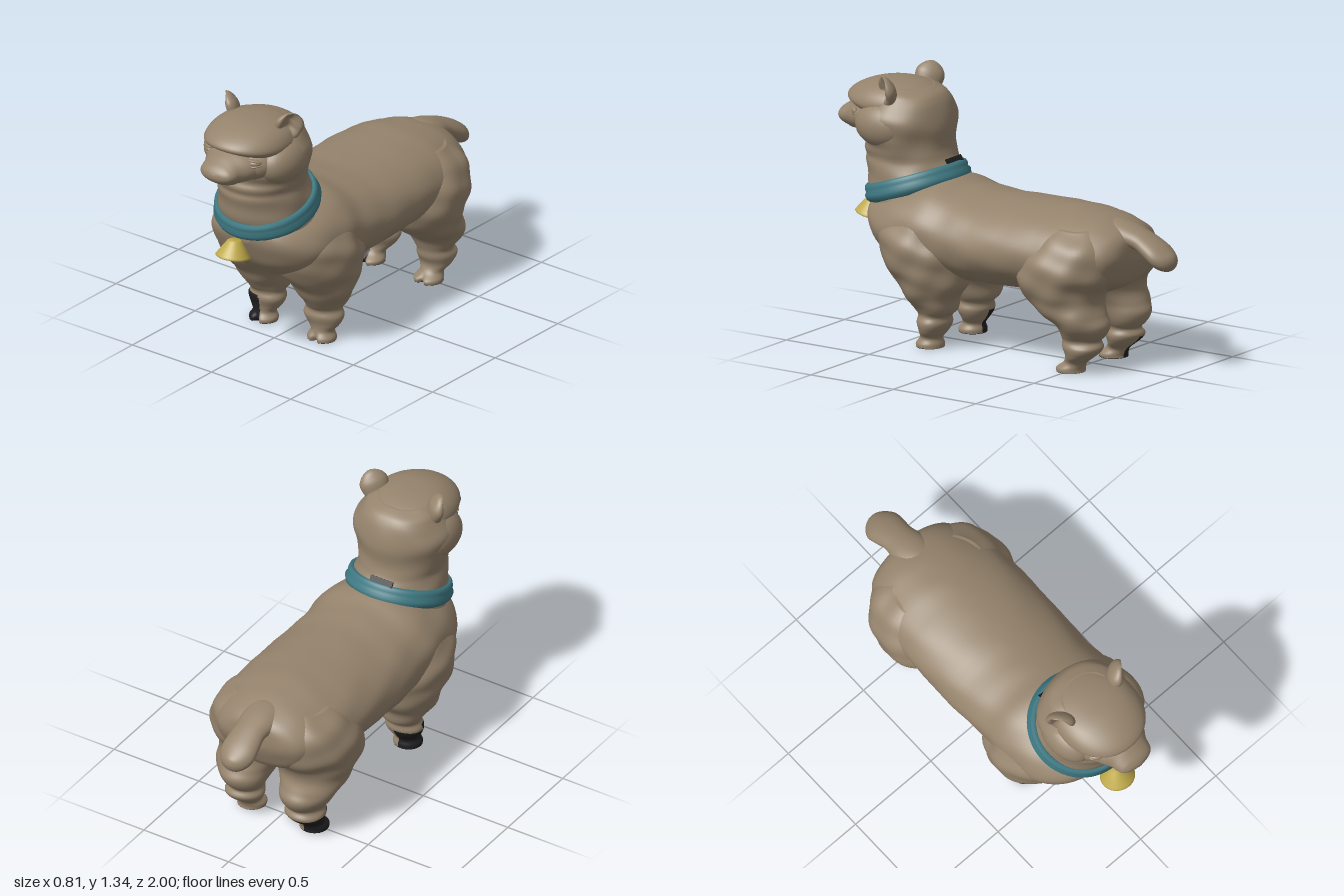
import * as THREE from 'three';

const wool = new THREE.MeshStandardMaterial({ color: 0x95836c });
wool.name = 'wool';
const dark = new THREE.MeshStandardMaterial({ color: 0x1f1f21 });
dark.name = 'dark hoof';
const teal = new THREE.MeshStandardMaterial({ color: 0x3f7a84 });
teal.name = 'teal collar';
const brass = new THREE.MeshStandardMaterial({ color: 0xbfaa4b, side: THREE.DoubleSide });
brass.name = 'yellow bell';

const cubic = (a, b, c, d, t) =>
  b + 0.5 * t * (c - a + t * (2 * a - 5 * b + 4 * c - d + t * (3 * (b - c) + d - a)));

// Smooth loft through rows [t, aLow, aHigh, bLow, bHigh], t ascending.
// axis 'y': t = y, a = z, b = x.   axis 'z': t = z, a = x, b = y.
function loft(axis, rows, { power = 2, lumps = 0, rule = null, seg = 48, steps = 5 } = {}) {
  const rings = [];
  for (let i = 0; i < rows.length - 1; i++) {
    const at = k => rows[Math.min(rows.length - 1, Math.max(0, k))];
    for (let s = 0; s < steps; s++) {
      rings.push(rows[i].map((v, c) => cubic(at(i - 1)[c], v, at(i + 1)[c], at(i + 2)[c], s / steps)));
    }
  }
  rings.push(rows[rows.length - 1]);
  // close both ends with a ring shrunk to its middle
  const close = r => [r[0], (r[1] + r[2]) / 2, (r[1] + r[2]) / 2, (r[3] + r[4]) / 2, (r[3] + r[4]) / 2];
  rings.unshift(close(rings[0]));
  rings.push(close(rings[rings.length - 1]));

  const bend = v => Math.sign(v) * Math.abs(v) ** (2 / power);
  const pos = [], index = [];
  rings.forEach(([t, a0, a1, b0, b1], i) => {
    for (let j = 0; j < seg; j++) {
      const th = (j / seg) * Math.PI * 2;
      const a = (a0 + a1) / 2 + bend(Math.cos(th)) * (a1 - a0) / 2;
      const b = (b0 + b1) / 2 + bend(Math.sin(th)) * (b1 - b0) / 2;
      const p = axis === 'y' ? new THREE.Vector3(b, t, a) : new THREE.Vector3(a, b, t);
      if (rule) rule(p);
      pos.push(p.x, p.y, p.z);
      if (i < rings.length - 1) {
        const k = i * seg + j, n = i * seg + (j + 1) % seg;
        index.push(k, n, k + seg, n, n + seg, k + seg);
      }
    }
  });
  const g = new THREE.BufferGeometry();
  g.setAttribute('position', new THREE.Float32BufferAttribute(pos, 3));
  g.setIndex(index);
  g.computeVertexNormals();
  if (lumps) {
    // soft fleece lumps, the same on both sides
    const P = g.attributes.position, N = g.attributes.normal;
    for (let i = 0; i < P.count; i++) {
      const x = Math.abs(P.getX(i)), y = P.getY(i), z = P.getZ(i);
      const d = lumps * Math.sin(34 * y + 9 * z + 5 * x) * Math.sin(23 * z - 13 * y + 8 * x)
        * THREE.MathUtils.smoothstep(y, 0.05, 0.15);
      P.setXYZ(i, P.getX(i) + N.getX(i) * d, y + N.getY(i) * d, z + N.getZ(i) * d);
    }
    g.computeVertexNormals();
  }
  return g;
}

// Split the quads of a loft into wool (0) and dark (1) groups by their centre.
function paint(g, isDark) {
  const P = g.attributes.position, sets = [[], []];
  for (let i = 0; i < g.index.count; i += 6) {
    const quad = [0, 1, 2, 3, 4, 5].map(k => g.index.getX(i + k));
    const mid = f => quad.reduce((sum, v) => sum + P[f](v), 0) / 6;
    sets[isDark(mid('getX'), mid('getY'), mid('getZ')) ? 1 : 0].push(...quad);
  }
  g.setIndex([...sets[0], ...sets[1]]);
  g.addGroup(0, sets[0].length, 0);
  g.addGroup(sets[0].length, sets[1].length, 1);
  return g;
}

export function createModel() {
  const model = new THREE.Group();
  const add = (name, geometry, material = wool) => {
    const m = new THREE.Mesh(geometry, material);
    m.name = name;
    model.add(m);
    return m;
  };
  const ball = (name, x, y, z, rx, ry, rz) => {
    const m = add(name, new THREE.SphereGeometry(1, 32, 20));
    m.position.set(x, y, z);
    m.scale.set(rx, ry, rz);
    return m;
  };
  const alongZ = rows => rows.map(([z, lo, hi, w]) => [z, -w, w, lo, hi]);
  const alongY = rows => rows.map(([y, lo, hi, w]) => [y, lo, hi, -w, w]);

  // Body: z, bottom, top, half width
  add('body', loft('z', alongZ([
    [-0.776, 0.57, 0.66, 0.07], [-0.757, 0.5, 0.705, 0.18], [-0.7, 0.42, 0.745, 0.265],
    [-0.55, 0.37, 0.785, 0.33], [-0.35, 0.36, 0.8, 0.36], [0, 0.34, 0.795, 0.363],
    [0.2, 0.335, 0.815, 0.353], [0.35, 0.335, 0.845, 0.36], [0.5, 0.36, 0.81, 0.345],
    [0.6, 0.41, 0.78, 0.31], [0.68, 0.475, 0.755, 0.25], [0.73, 0.55, 0.735, 0.175],
    [0.765, 0.63, 0.7, 0.06]]), { lumps: 0.003, seg: 72 }));

  add('tail', loft('z', alongZ([
    [-1, 0.575, 0.59, 0.01], [-0.99, 0.55, 0.615, 0.04], [-0.965, 0.535, 0.638, 0.072],
    [-0.92, 0.545, 0.67, 0.095], [-0.86, 0.585, 0.702, 0.092], [-0.8, 0.62, 0.728, 0.085],
    [-0.72, 0.63, 0.755, 0.1], [-0.64, 0.63, 0.765, 0.1], [-0.55, 0.64, 0.74, 0.07]])));

  // Neck and back of the head: y, back, front, half width
  add('neck', loft('y', alongY([
    [0.55, 0.28, 0.71, 0.25], [0.65, 0.26, 0.755, 0.265], [0.75, 0.27, 0.795, 0.25],
    [0.82, 0.3, 0.81, 0.238], [0.88, 0.335, 0.822, 0.226], [0.915, 0.36, 0.815, 0.221],
    [0.95, 0.372, 0.825, 0.228], [0.985, 0.378, 0.815, 0.235], [1.03, 0.38, 0.83, 0.253],
    [1.09, 0.376, 0.83, 0.264], [1.13, 0.38, 0.82, 0.26], [1.17, 0.393, 0.8, 0.238],
    [1.21, 0.413, 0.77, 0.207], [1.24, 0.44, 0.74, 0.18], [1.265, 0.49, 0.7, 0.13]]), { lumps: 0.004 }));

  // Crown with an overhanging brow that droops at the sides
  add('crown', loft('y', alongY([
    [1.12, 0.46, 0.8, 0.17], [1.165, 0.43, 0.885, 0.208], [1.195, 0.425, 0.93, 0.221],
    [1.225, 0.437, 0.915, 0.217], [1.255, 0.475, 0.865, 0.196], [1.278, 0.54, 0.8, 0.155],
    [1.289, 0.61, 0.74, 0.09], [1.291, 0.67, 0.68, 0.01]]),
    { power: 2.1, rule: p => { p.y -= 0.45 * p.x * p.x; } }));

  // Face
  ball('face', 0, 1.095, 0.75, 0.2, 0.105, 0.145);
  add('muzzle', loft('z', alongZ([
    [0.78, 0.995, 1.19, 0.18], [0.86, 1.0, 1.175, 0.145], [0.91, 1.005, 1.155, 0.115],
    [0.945, 1.015, 1.135, 0.106], [0.972, 1.03, 1.118, 0.092], [0.99, 1.045, 1.1, 0.062],
    [1.0, 1.062, 1.082, 0.015]])));
  ball('lowerLip', 0, 1.03, 0.89, 0.085, 0.027, 0.07);
  for (const s of [-1, 1]) {
    ball('cheek', s * 0.17, 1.085, 0.64, 0.106, 0.115, 0.16);
    ball('eye', s * 0.147, 1.126, 0.836, 0.03, 0.014, 0.016).rotation.y = s * 0.7;
    for (const [name, dy, tilt] of [['upperLid', 0.014, -0.2], ['lowerLid', -0.014, 0.12]]) {
      ball(name, s * 0.147, 1.126 + dy, 0.836, 0.036, 0.007, 0.016).rotation.set(0, s * 0.7, s * tilt);
    }

    // Cupped ears leaning outward, open to the outside and front
    const ear = add(s > 0 ? 'leftEar' : 'rightEar', loft('y', alongY([
      [-0.03, -0.05, 0.05, 0.04], [0.03, -0.068, 0.068, 0.045], [0.075, -0.074, 0.074, 0.046],
      [0.105, -0.062, 0.062, 0.036], [0.13, -0.036, 0.036, 0.022], [0.142, -0.008, 0.008, 0.006]]), {
      rule: p => {
        if (s * p.x > 0) p.x -= s * Math.min(s * p.x * 1.5, 0.06) * Math.exp(-((p.z / 0.045) ** 2))
          * THREE.MathUtils.smoothstep(p.y, 0.01, 0.06);
      } }));
    ear.position.set(s * 0.16, 1.207, 0.615);
    ear.rotation.set(0, -s * 0.7, -s * 0.42, 'ZYX');
  }

  // Legs: y, back, front, inner x, outer x
  const frontLeg = [
    [0, 0.28, 0.42, 0.11, 0.258], [0.02, 0.28, 0.42, 0.108, 0.258], [0.05, 0.285, 0.4, 0.122, 0.245],
    [0.085, 0.262, 0.4, 0.095, 0.268], [0.13, 0.235, 0.412, 0.075, 0.28], [0.165, 0.235, 0.41, 0.08, 0.272],
    [0.195, 0.21, 0.43, 0.065, 0.288], [0.25, 0.195, 0.46, 0.045, 0.318], [0.3, 0.17, 0.49, 0.02, 0.35],
    [0.36, 0.14, 0.55, -0.02, 0.367], [0.42, 0.125, 0.595, -0.06, 0.385], [0.5, 0.13, 0.625, -0.08, 0.4],
    [0.58, 0.16, 0.63, -0.07, 0.385], [0.66, 0.2, 0.58, 0, 0.335], [0.73, 0.27, 0.5, 0.08, 0.25]];
  const hindDepth = [[-0.575, -0.43], [-0.575, -0.43], [-0.59, -0.47], [-0.63, -0.485], [-0.675, -0.475],
    [-0.66, -0.47], [-0.68, -0.455], [-0.71, -0.42], [-0.69, -0.365], [-0.66, -0.27], [-0.68, -0.22],
    [-0.725, -0.2], [-0.735, -0.22], [-0.71, -0.28], [-0.62, -0.38]];
  const hindLeg = frontLeg.map((r, i) => [r[0], ...hindDepth[i], r[3], r[4]]);
  for (const [name, rows] of [['FrontLeg', frontLeg], ['HindLeg', hindLeg]]) {
    for (const s of [-1, 1]) {
      const sided = rows.map(([y, z0, z1, a, b]) => (s > 0 ? [y, z0, z1, a, b] : [y, z0, z1, -b, -a]));
      const mid = (rows[0][1] + rows[0][2]) / 2;
      // cleft between the two toes
      const cleft = p => {
        if (p.y < 0.05 && p.z > mid) {
          p.z -= 0.45 * (p.z - mid) * (1 - p.y / 0.05) * Math.exp(-(((p.x - s * 0.183) / 0.016) ** 2));
        }
      };
      // dark soles, and dark outer sides on the right feet
      const g = loft('y', sided, { lumps: 0.007, rule: cleft, seg: 64, steps: 6 });
      paint(g, (x, y, z) => (y < 0.002 && (s < 0 || z > mid - 0.015))
        || (x < -0.172 && y < (z > mid - 0.02 ? 0.15 : 0.125)));
      add((s > 0 ? 'left' : 'right') + name, g, [wool, dark]);
    }
  }

  // Collar: folded band, tilted so that it sits low in front
  const band = [[0.225, -0.04], [0.25, -0.052], [0.267, -0.035], [0.273, -0.012], [0.262, 0.004],
    [0.264, 0.02], [0.259, 0.038], [0.247, 0.046], [0.225, 0.036], [0.225, -0.04]];
  const collar = add('collar', new THREE.LatheGeometry(band.map(p => new THREE.Vector2(...p)), 64), teal);
  collar.position.set(0, 0.782, 0.558);
  collar.rotation.x = 0.32;

  // Dark patch behind the neck
  const patch = add('neckPatch', new THREE.BoxGeometry(0.13, 0.034, 0.008), dark);
  patch.position.set(-0.025, 0.906, 0.352);
  patch.rotation.x = 0.6;

  // Bell with a shallow hollow below
  const bellProfile = [[0.001, 0.05], [0.028, 0.05], [0.038, 0.042], [0.062, 0.006],
    [0.084, -0.028], [0.088, -0.036], [0.083, -0.04], [0.06, -0.03], [0.001, -0.026]];
  const bell = add('bell', new THREE.LatheGeometry(bellProfile.map(p => new THREE.Vector2(...p)), 40), brass);
  bell.position.set(0, 0.61, 0.822);
  bell.rotation.x = -0.19;

  return model;
}
